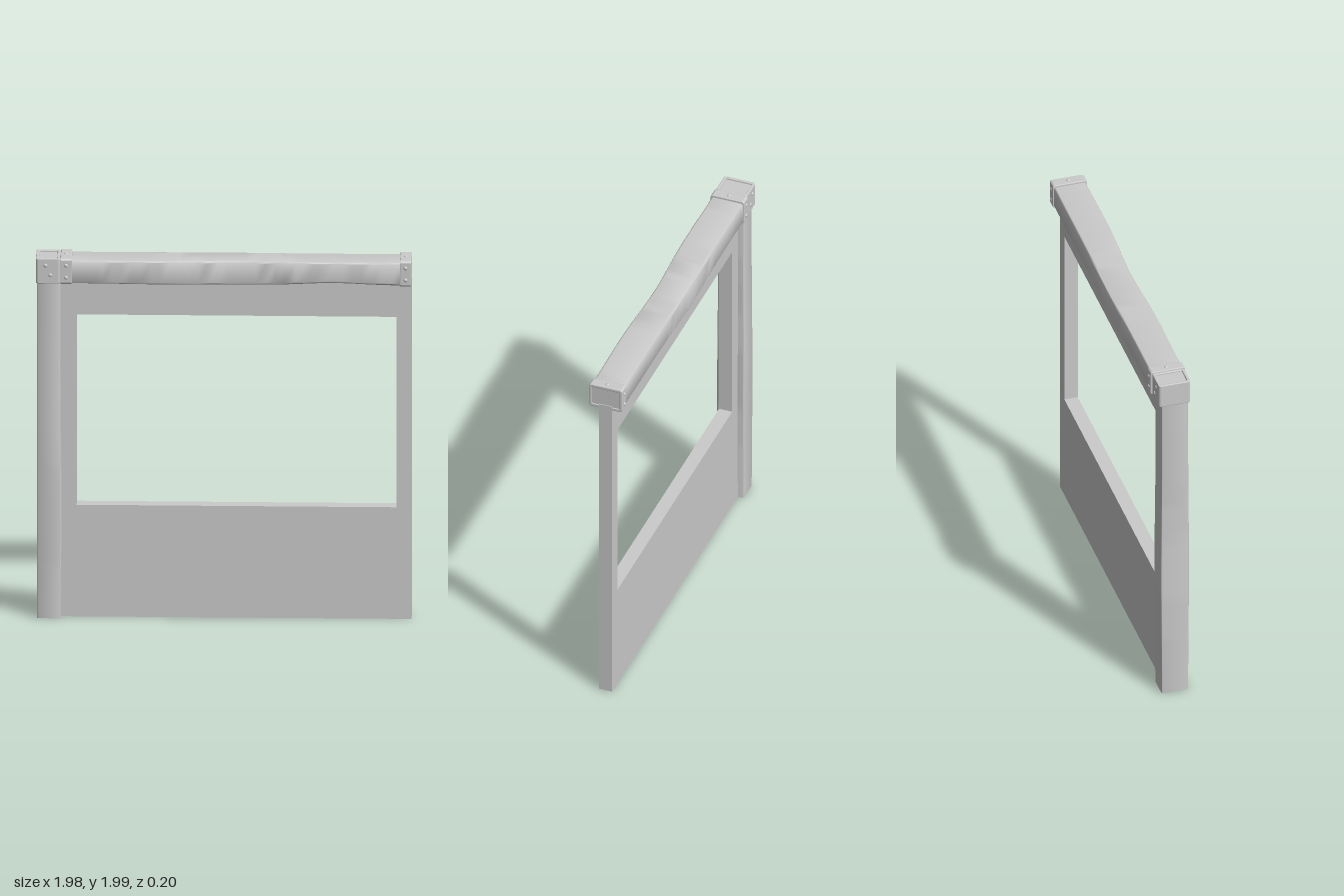
import * as THREE from 'three';
import { mergeVertices, toCreasedNormals } from 'three/addons/utils/BufferGeometryUtils.js';

const material = new THREE.MeshStandardMaterial({ color: 0xcccccc });

function add(parent, name, geometry, x = 0, y = 0, z = 0) {
  const mesh = new THREE.Mesh(geometry, material);
  mesh.name = name;
  mesh.position.set(x, y, z);
  parent.add(mesh);
  return mesh;
}

// Rounded rectangle outline centred on the origin
function roundedRect(w, h, r, Type = THREE.Shape) {
  const s = new Type();
  const x = w / 2 - r, y = h / 2 - r;
  s.absarc(x, y, r, 0, Math.PI / 2);
  s.absarc(-x, y, r, Math.PI / 2, Math.PI);
  s.absarc(-x, -y, r, Math.PI, Math.PI * 1.5);
  s.absarc(x, -y, r, Math.PI * 1.5, Math.PI * 2);
  s.closePath();
  return s;
}

// Rounded bar along z, with each vertex shifted by a rule for a hand-hewn look
function timber(w, h, r, length, steps) {
  const g = new THREE.ExtrudeGeometry(roundedRect(w, h, r), {
    depth: length, steps, bevelEnabled: false, curveSegments: 3,
  });
  return g.translate(0, 0, -length / 2);
}

function hew(geometry, rule) {
  const p = geometry.attributes.position, v = new THREE.Vector3();
  for (let i = 0; i < p.count; i++) {
    v.fromBufferAttribute(p, i);
    rule(v);
    p.setXYZ(i, v.x, v.y, v.z);
  }
  geometry.deleteAttribute('normal');
  geometry.deleteAttribute('uv');
  return toCreasedNormals(mergeVertices(geometry, 1e-5), 0.7);
}

// Open metal sleeve with a softened rim, running along z
function sleeve(w, h, depth, wall) {
  const bevel = 0.004;
  const s = roundedRect(w - 2 * bevel, h - 2 * bevel, 0.01);
  s.holes.push(roundedRect(w - 2 * wall, h - 2 * wall, 0.006, THREE.Path));
  return new THREE.ExtrudeGeometry(s, {
    depth: depth - 2 * bevel, bevelSize: bevel, bevelThickness: bevel,
    bevelSegments: 2, curveSegments: 4,
  }).translate(0, 0, bevel - depth / 2);
}

// Domed rivet head pointing along the given direction
function rivet(parent, x, y, z, direction) {
  const g = new THREE.SphereGeometry(0.011, 10, 4, 0, Math.PI * 2, 0, Math.PI / 2).scale(1, 0.7, 1);
  const m = add(parent, 'rivet', g, x, y, z);
  m.quaternion.setFromUnitVectors(new THREE.Vector3(0, 1, 0), direction);
}

const bump = (t, centre, width) => Math.exp(-(((t - centre) / width) ** 2));

export function createModel() {
  const model = new THREE.Group();
  model.name = 'windowWall';

  // Wall panel with a window opening
  const outline = new THREE.Shape();
  outline.moveTo(-0.9, 0).lineTo(0.988, 0).lineTo(0.988, 1.87).lineTo(-0.9, 1.87).closePath();
  const opening = new THREE.Path();
  opening.moveTo(-0.78, 0.615).lineTo(-0.78, 1.665).lineTo(0.91, 1.665).lineTo(0.91, 0.615).closePath();
  outline.holes.push(opening);
  const wall = new THREE.ExtrudeGeometry(outline, { depth: 0.074, bevelEnabled: false });
  add(model, 'wallPanel', wall, 0, 0, -0.037);

  // Upright post, its faces slightly uneven
  const post = timber(0.124, 0.145, 0.009, 1.976, 32).rotateX(-Math.PI / 2);
  add(model, 'cornerPost', hew(post, (v) => {
    const y = v.y + 0.988;
    if (v.z > 0) v.z += 0.007 * bump(y, 0.8, 0.75);
    else v.z -= 0.005 * bump(y, 0.75, 0.45);
    if (v.x > 0) v.x += 0.004 * bump(y, 0.55, 0.4) - 0.002 * bump(y, 1.3, 0.3);
  }), -0.925, 0.988, 0.002);

  // Top beam, bowed along the front face and the lower edge
  const beam = timber(0.176, 0.126, 0.012, 1.83, 36).rotateY(Math.PI / 2);
  add(model, 'topBeam', hew(beam, (v) => {
    if (v.z > 0) v.z += 0.004 * bump(Math.abs(v.x), 0.5, 0.25) - 0.012 * bump(v.x, 0, 0.25);
    else v.z -= 0.006 * bump(v.x, -0.1, 0.25);
    if (v.y < 0) {
      v.y -= 0.006 * bump(v.x, -0.1, 0.4);
      if (v.z > 0) v.y += 0.013 * bump(v.x, 0.5, 0.22);
    }
  }), 0.069, 1.913, 0);

  // Sleeve around the head of the post, riveted front and back
  const cap = new THREE.Group();
  cap.name = 'postCap';
  model.add(cap);
  add(cap, 'postSleeve', sleeve(0.128, 0.176, 0.136, 0.012).rotateX(-Math.PI / 2), -0.93, 1.917, 0);
  for (const side of [1, -1]) {
    const out = new THREE.Vector3(0, 0, side);
    rivet(cap, -0.943, 1.948, side * 0.087, out);
    rivet(cap, -0.917, 1.895, side * 0.087, out);
  }

  // Straps around both ends of the beam
  for (const x of [-0.834, 0.958]) {
    const strap = new THREE.Group();
    strap.name = 'beamStrap';
    strap.position.set(x, 1.917, 0);
    model.add(strap);
    add(strap, 'strapBand', sleeve(0.19, 0.142, 0.06, 0.014).rotateY(Math.PI / 2));
    rivet(strap, 0, 0.07, 0, new THREE.Vector3(0, 1, 0));
    for (const side of [1, -1]) {
      for (const y of [0.033, -0.033]) rivet(strap, 0, y, side * 0.094, new THREE.Vector3(0, 0, side));
    }
  }
  return model;
}
